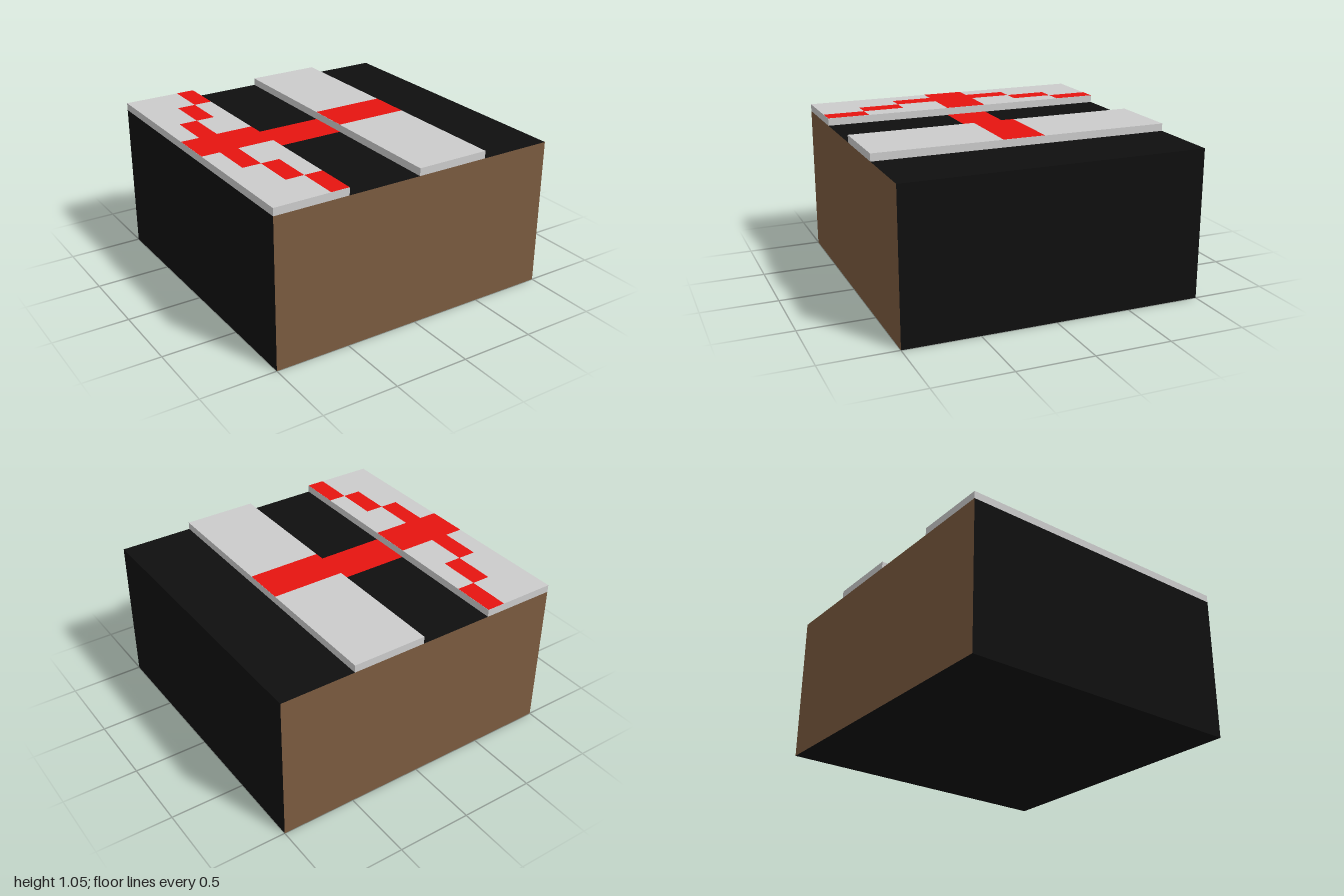
import * as THREE from 'three';

const paint = (color) => new THREE.MeshStandardMaterial({ color });

export function createModel() {
  const model = new THREE.Group();
  model.name = 'block';
  const black = paint(0x0f0f0f), brown = paint(0x7a5a3f);
  const grey = paint(0xcccccc), red = paint(0xe61410);
  const H = 1, T = 0.05, LIFT = 0.001;

  function add(name, geometry, material, x, y, z = 0) {
    const mesh = new THREE.Mesh(geometry, material);
    mesh.name = name;
    mesh.position.set(x, y, z);
    model.add(mesh);
  }

  // Block: black, with brown front and back faces
  add('body', new THREE.BoxGeometry(2, H, 2),
    [black, black, black, black, brown, brown], 0, H / 2);

  // Two raised planks running front to back
  for (const [name, x] of [['rightPlank', -0.75], ['leftPlank', 0.25]]) {
    add(name, new THREE.BoxGeometry(0.5, T, 2), grey, x, H + T / 2);
  }

  // Flat painted patches, laid out on seven rows along z
  const row = 2 / 7;
  function patch(name, x0, x1, y, z = 0) {
    const geometry = new THREE.PlaneGeometry(x1 - x0, row).rotateX(-Math.PI / 2);
    add(name, geometry, red, (x0 + x1) / 2, y + LIFT, z);
  }

  // Central stripe across the planks and the gap between them
  patch('stripeRight', -1, -0.5, H + T);
  patch('stripeMiddle', -0.5, 0, H);
  patch('stripeLeft', 0, 0.5, H + T);

  // Stepped arms spreading from the stripe to both ends
  for (const side of [-1, 1]) {
    for (let i = 1; i <= 3; i++) {
      const x0 = -1 + i * 0.125;
      patch('stepPatch', x0, x0 + 0.125, H + T, side * i * row);
    }
  }
  return model;
}
